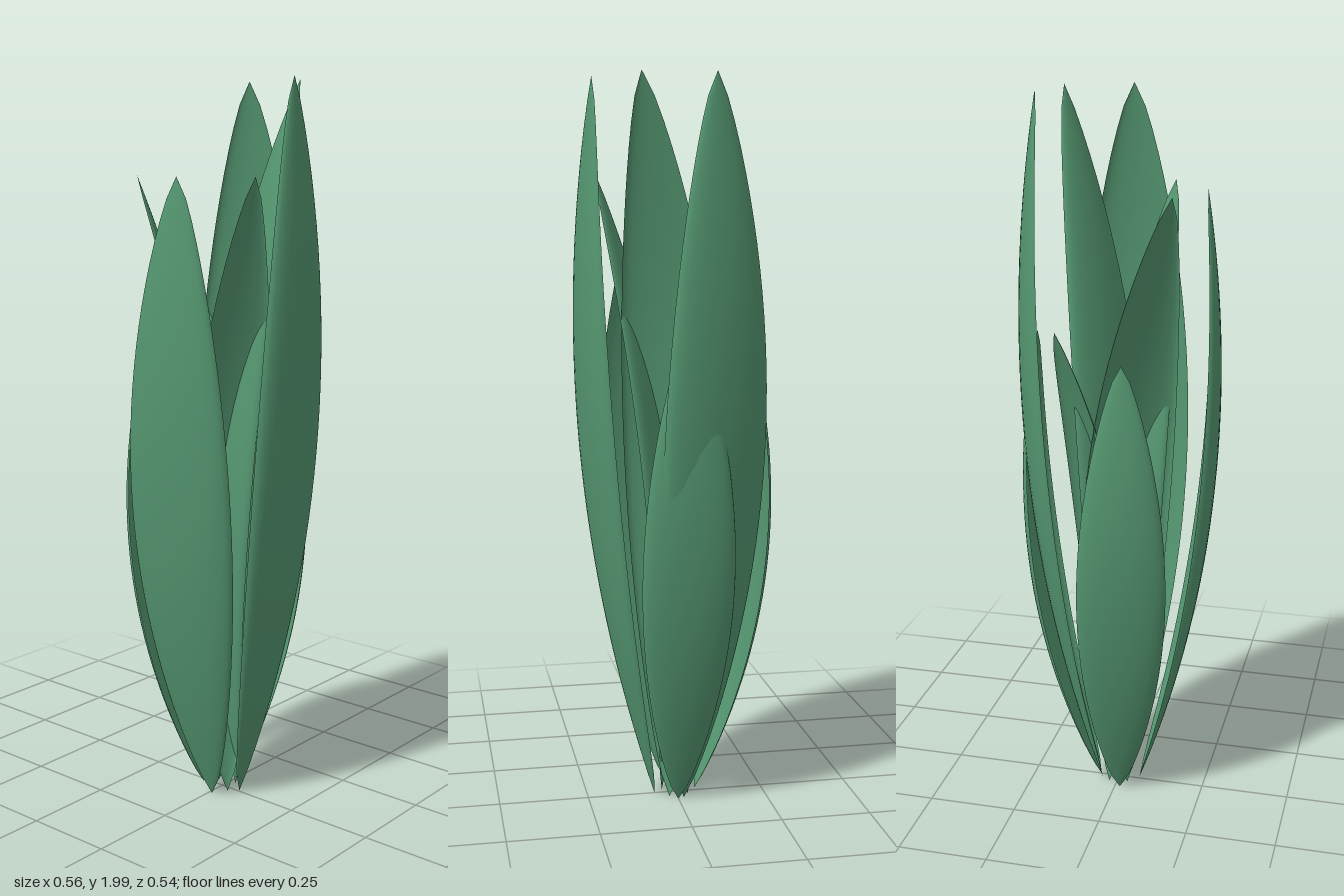
import * as THREE from 'three';

const leafGreen = new THREE.MeshStandardMaterial({ color: 0x549670, side: THREE.DoubleSide });
leafGreen.name = 'leafGreen';

// One pointed leaf facing +z: a plane bent along its spine, with rims rounded over.
// r0, r1: distance from the axis at base and tip; bow: bulge of the spine
// (positive bows outward, negative bends inward and flares at the tip);
// turn: degrees the blade is turned about its own spine.
function leafGeometry({ height, width, r0, r1, bow, turn = 0 }) {
  const geometry = new THREE.PlaneGeometry(2, 1, 16, 32);
  const p = geometry.attributes.position;
  const angle = THREE.MathUtils.degToRad(turn);
  const c = Math.cos(angle), s = Math.sin(angle);
  for (let i = 0; i < p.count; i++) {
    const a = p.getX(i) * Math.PI / 2;
    const t = THREE.MathUtils.clamp(p.getY(i) + 0.5, 0, 1);
    const half = (width / 2) * Math.pow(Math.max(0, Math.sin(Math.PI * t)), 0.72);
    const spine = r0 + (r1 - r0) * t + bow * 4 * t * (1 - t);
    const across = half * Math.sin(a);
    const cup = 0.28 * half * (1 - Math.cos(a)) * Math.sign(bow);
    p.setXYZ(i, across * c - cup * s, 0.01 + t * (height - 0.01), spine - across * s - cup * c);
  }
  geometry.computeVertexNormals();
  return geometry;
}

// x, z give the direction in which each leaf stands
const outerLeaves = [
  { name: 'frontLeaf', x: 0.015, z: 0.25, height: 2.0, width: 0.315, r0: 0.06, r1: 0.226, bow: 0.11, turn: 4 },
  { name: 'rightLeaf', x: -0.24, z: 0.04, height: 1.75, width: 0.305, r0: 0.06, r1: 0.23, bow: 0.115 },
  { name: 'backLeaf', x: -0.062, z: -0.24, height: 1.33, width: 0.24, r0: 0.06, r1: 0.222, bow: 0.112 },
  { name: 'leftLeaf', x: 0.225, z: -0.08, height: 2.0, width: 0.315, r0: 0.05, r1: 0.215, bow: 0.123, turn: 1.5 },
  { name: 'shortLeftLeaf', x: 0.24, z: 0.002, height: 1.36, width: 0.25, r0: 0.055, r1: 0.23, bow: 0.104 },
];
const innerLeaves = [
  { name: 'innerFrontLeftLeaf', x: 0.18, z: 0.12, height: 2.0, width: 0.28, r0: 0.04, r1: 0.216, bow: -0.138, turn: 9 },
  { name: 'innerBackRightLeaf', x: -0.17, z: -0.15, height: 1.75, width: 0.27, r0: 0.04, r1: 0.227, bow: -0.125, turn: -7 },
  { name: 'innerFrontRightLeaf', x: -0.11, z: 0.2, height: 1.75, width: 0.23, r0: 0.04, r1: 0.228, bow: -0.118 },
  { name: 'innerBackLeftLeaf', x: 0.13, z: -0.18, height: 1.4, width: 0.21, r0: 0.04, r1: 0.222, bow: -0.1 },
];

export function createModel() {
  const plant = new THREE.Group();
  plant.name = 'leafRosette';
  for (const leaf of [...outerLeaves, ...innerLeaves]) {
    const mesh = new THREE.Mesh(leafGeometry(leaf), leafGreen);
    mesh.name = leaf.name;
    mesh.rotation.y = Math.atan2(leaf.x, leaf.z);
    plant.add(mesh);
  }
  return plant;
}
